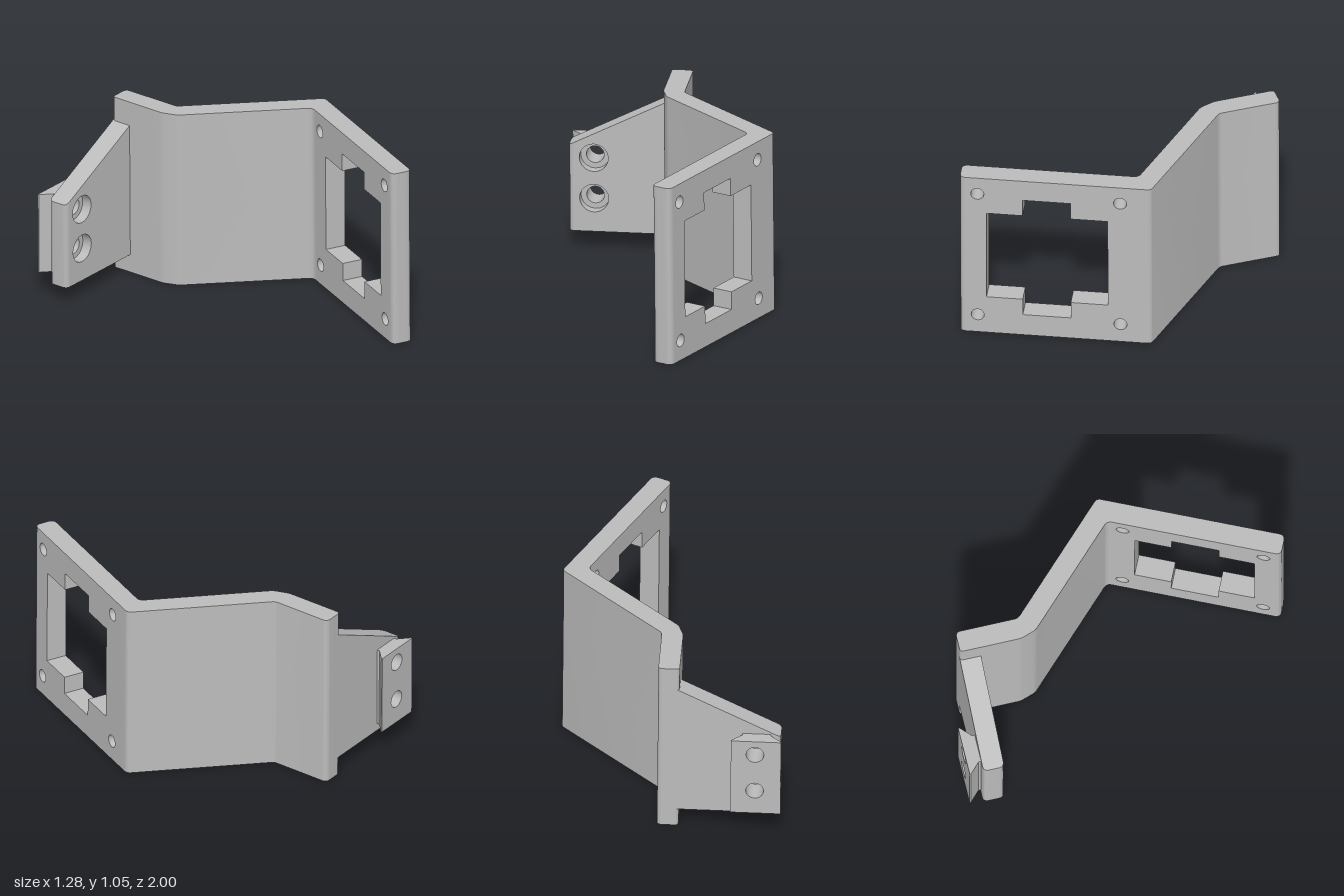
import * as THREE from 'three';
import { toCreasedNormals } from 'three/addons/utils/BufferGeometryUtils.js';

const H = 1.047;            // full height
const T = 0.12;             // wall thickness
const L = 1.075;            // length of the mounting panel
const CORNER = [0.64, 0.03];
const D = new THREE.Vector2(-0.42, 0.907).normalize();

export function createModel() {
  const grey = new THREE.MeshStandardMaterial({ color: 0xbcbcbc });
  grey.name = 'grey plastic';
  const group = new THREE.Group();
  group.name = 'bracket';

  const add = (name, geo) => {
    const mesh = new THREE.Mesh(toCreasedNormals(geo, 0.6), grey);
    mesh.name = name;
    group.add(mesh);
    return mesh;
  };

  // Outline of [x, y, corner radius] points
  const outline = (pts) => {
    const s = new THREE.Shape();
    const n = pts.length;
    pts.forEach(([x, y, r = 0], i) => {
      const p = new THREE.Vector2(x, y);
      const toward = (q) => new THREE.Vector2(q[0], q[1]).sub(p).setLength(r).add(p);
      const a = r ? toward(pts[(i + n - 1) % n]) : p;
      if (i === 0) s.moveTo(a.x, a.y); else s.lineTo(a.x, a.y);
      if (r) {
        const b = toward(pts[(i + 1) % n]);
        s.quadraticCurveTo(x, y, b.x, b.y);
      }
    });
    s.closePath();
    return s;
  };
  const circle = (x, y, r) => new THREE.Path().absarc(x, y, r, 0, Math.PI * 2, true);
  const extrude = (shape, depth) =>
    new THREE.ExtrudeGeometry(shape, { depth, bevelEnabled: false, curveSegments: 10 });

  // Plan profile of [x, z, radius] points raised from y0 to y1
  const raise = (pts, y0, y1) =>
    extrude(outline(pts.map(([x, z, r]) => [x, -z, r])), y1 - y0)
      .rotateX(-Math.PI / 2).translate(0, y0, 0);

  // Plan point on the panel: u along it, w into its thickness
  const onPanel = (u, w, r = 0) =>
    [CORNER[0] + u * D.x - w * D.y, CORNER[1] + u * D.y + w * D.x, r];

  // Bent wall, up to the start of the panel
  const cutA = 0.12, cutB = 1.03;
  add('bentWall', raise([
    onPanel(cutA, 0), [...CORNER, 0.025], [0.05, -0.56, 0.02], [0.05, -0.92, 0.03],
    [-0.07, -0.92, 0.02], [-0.07, -0.57, 0.02], [-0.04, -0.48, 0.02],
    [0.496, 0.056, 0.03], onPanel(cutA, T),
  ], 0, H));

  // Mounting panel with notched window and four screw holes
  const face = outline([[cutA, 0], [cutB, 0], [cutB, H], [cutA, H]]);
  const [u0, u1, n0, n1] = [0.243, 0.926, 0.452, 0.722];
  const [y0, y1, m0, m1] = [0.242, 0.812, 0.137, 0.917];
  face.holes.push(outline([
    [u0, y0], [u0, y1], [n0, y1], [n0, m1], [n1, m1], [n1, y1],
    [u1, y1], [u1, y0], [n1, y0], [n1, m0], [n0, m0], [n0, y0],
  ]));
  for (const u of [0.173, 0.976]) {
    for (const y of [0.117, 0.94]) face.holes.push(circle(u, y, 0.037));
  }
  const panelFrame = new THREE.Matrix4().makeBasis(
    new THREE.Vector3(D.x, 0, D.y), new THREE.Vector3(0, 1, 0),
    new THREE.Vector3(-D.y, 0, D.x),
  ).setPosition(CORNER[0], 0, CORNER[1]);
  add('mountingPanel', extrude(face, T).applyMatrix4(panelFrame));

  // Rounded free edge of the panel
  add('panelEdge', raise([
    onPanel(cutB, 0), onPanel(cutB, T), onPanel(L, T, 0.035), onPanel(L, 0, 0.035),
  ], 0, H));

  // Foot plate: rear layer with bolt holes, front layer with counterbores
  const slope = 0.5, low = 0.108, boltX = -0.5, bolts = [0.305, 0.545];
  const top = (x) => 0.617 + slope * (x + 0.64);
  const edge = -0.605, inner = -0.05;
  const plateLayer = (name, r, z) => {
    const s = outline([[edge, low], [inner, low], [inner, top(inner)], [edge, top(edge)]]);
    bolts.forEach((y) => s.holes.push(circle(boltX, y, r)));
    add(name, extrude(s, T / 2).translate(0, 0, z));
  };
  plateLayer('footPlateRear', 0.05, -0.92);
  plateLayer('footPlateFront', 0.082, -0.86);

  // Rounded outer edge of the foot plate, its top following the slope
  const rim = raise([
    [edge, -0.92], [edge, -0.8], [-0.64, -0.8, 0.03], [-0.64, -0.92, 0.03],
  ], low, 0.6);
  const pos = rim.attributes.position;
  for (let i = 0; i < pos.count; i++) {
    if (pos.getY(i) > 0.5) pos.setY(i, top(pos.getX(i)));
  }
  add('footPlateEdge', rim);

  // Dovetail rail behind the foot plate: bored core and two flared sides
  const [b0, b1, c0, c1] = [0.155, 0.633, -0.585, -0.425];
  const core = outline([[c0, b0], [c1, b0], [c1, b1], [c0, b1]]);
  bolts.forEach((y) => core.holes.push(circle(boltX, y, 0.05)));
  add('dovetailCore', extrude(core, 0.08).translate(0, 0, -1));
  add('dovetailSideRight', raise(
    [[c0, -0.935], [-0.645, -0.992], [-0.645, -1], [c0, -1]], b0, b1));
  add('dovetailSideLeft', raise(
    [[c1, -0.935], [c1, -1], [-0.365, -1], [-0.365, -0.992]], b0, b1));

  // The bracket leans very slightly
  group.rotation.z = 0.0085;
  group.position.set(0.0045, 0.0006, 0);
  const root = new THREE.Group();
  root.name = 'angledBracket';
  root.add(group);
  return root;
}
